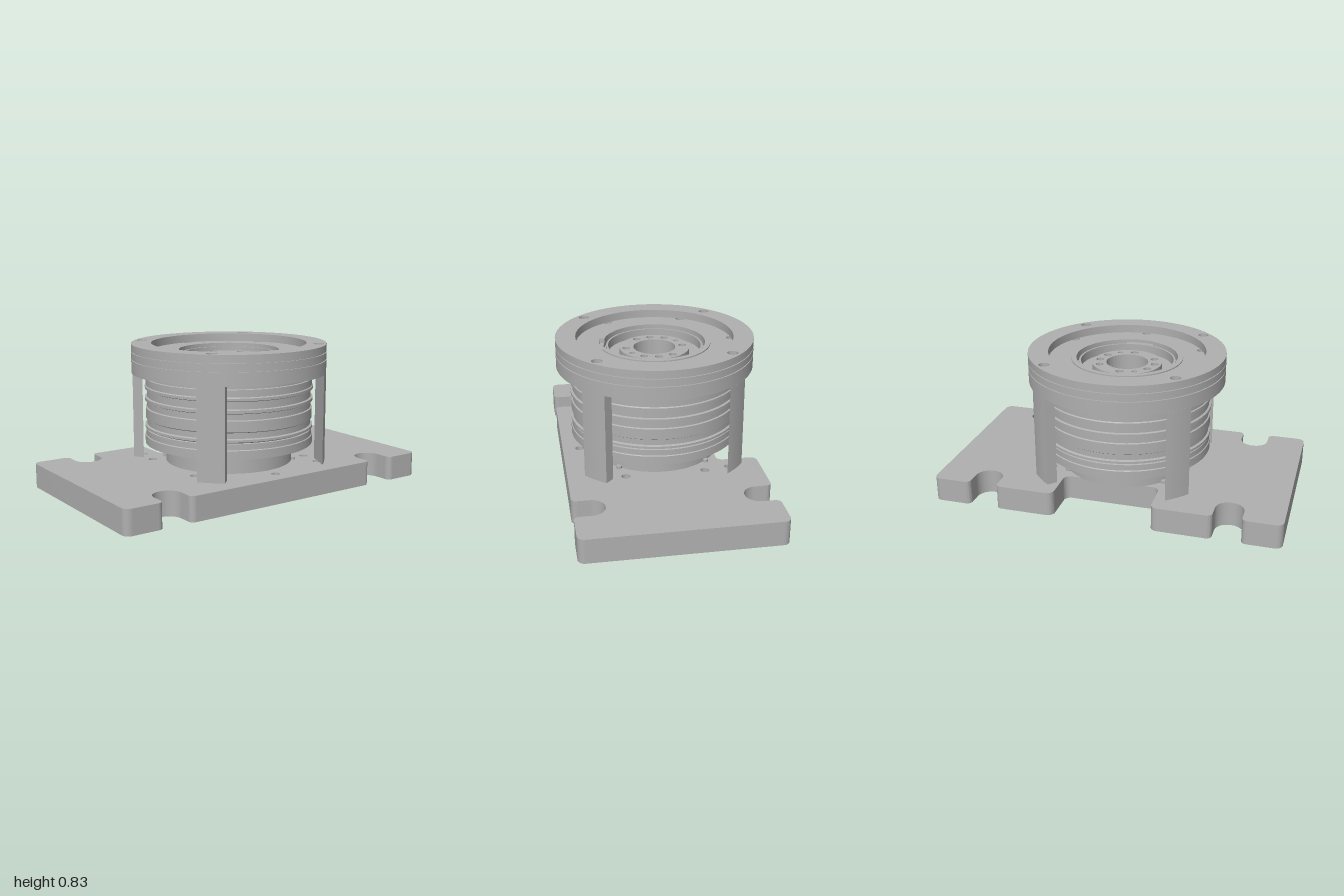
import * as THREE from 'three';
import { toCreasedNormals } from 'three/addons/utils/BufferGeometryUtils.js';

const metal = new THREE.MeshStandardMaterial({ color: 0xb0b0b0 });
metal.name = 'machined grey';

const polar = (r, deg) => [r * Math.cos(deg * Math.PI / 180), r * Math.sin(deg * Math.PI / 180)];
const hole = (x, z, r) => new THREE.Path().absarc(x, z, r, 0, Math.PI * 2, true);

export function createModel() {
  const group = new THREE.Group();

  const add = (name, geometry) => {
    const mesh = new THREE.Mesh(toCreasedNormals(geometry, 0.5), metal);
    mesh.name = name;
    group.add(mesh);
    return mesh;
  };
  // Extrude a plan outline upward from y0 to y1
  const slab = (name, shape, y0, y1) => {
    const g = new THREE.ExtrudeGeometry(shape, { depth: y1 - y0, bevelEnabled: false, curveSegments: 40 });
    g.rotateX(-Math.PI / 2);
    g.translate(0, y0, 0);
    return add(name, g);
  };
  const ring = (name, outer, inner, y0, y1, holes = []) => {
    const s = new THREE.Shape().absarc(0, 0, outer, 0, Math.PI * 2, false);
    s.holes.push(hole(0, 0, inner), ...holes);
    return slab(name, s, y0, y1);
  };
  // Right-angled outline with a fillet radius at each corner
  const filleted = (pts) => {
    const s = new THREE.Shape();
    const n = pts.length;
    pts.forEach(([x, y, r], i) => {
      const p = new THREE.Vector2(x, y);
      const toward = (q) => new THREE.Vector2(q[0], q[1]).sub(p).normalize();
      const d0 = toward(pts[(i + n - 1) % n]);
      const d1 = toward(pts[(i + 1) % n]);
      const at = (d, k) => p.clone().addScaledVector(d, r * k);
      const a = at(d0, 1), c0 = at(d0, 0.448), c1 = at(d1, 0.448), b = at(d1, 1);
      if (i === 0) s.moveTo(a.x, a.y); else s.lineTo(a.x, a.y);
      s.bezierCurveTo(c0.x, c0.y, c1.x, c1.y, b.x, b.y);
    });
    s.closePath();
    return s;
  };

  // Base plate: clamp slots on both long sides, a notch on the right side
  const W = 0.55, S = 0.375;
  const slot = (side, z0, z1) => [
    [side * W, z0, 0.03], [side * S, z0, 0.078], [side * S, z1, 0.078], [side * W, z1, 0.03],
  ];
  const plate = filleted([
    [-W, -1, 0.04], [W, -1, 0.04],
    ...slot(1, -0.78, -0.62), ...slot(1, 0.62, 0.78),
    [W, 1, 0.04], [-W, 1, 0.04],
    ...slot(-1, 0.78, 0.62),
    [-W, 0.28, 0.04], [-0.32, 0.28, 0.04], [-0.32, -0.28, 0.04], [-W, -0.28, 0.04],
    ...slot(-1, -0.62, -0.78),
  ]);
  for (const a of [0, 60, 120, 240, 300]) plate.holes.push(hole(...polar(0.45, a), 0.025));
  for (const a of [45, 135, 225, 315]) plate.holes.push(hole(...polar(0.52, a), 0.024));
  slab('basePlate', plate, 0, 0.14);

  // Ribbed drum with a foot and a stepped well in its top
  const profile = [
    [0, 0.139], [0.37, 0.139], [0.37, 0.25], [0.49, 0.25], [0.49, 0.298], [0.485, 0.302],
    [0.485, 0.335], [0.476, 0.338], [0.49, 0.345], [0.49, 0.358], [0.478, 0.363],
    [0.478, 0.395], [0.486, 0.4], [0.486, 0.46], [0.478, 0.464], [0.478, 0.498],
    [0.49, 0.503], [0.49, 0.52], [0.478, 0.524], [0.478, 0.565], [0.49, 0.57],
    [0.49, 0.585], [0.484, 0.59], [0.484, 0.63], [0.477, 0.633], [0.477, 0.665],
    [0.317, 0.665], [0.317, 0.765], [0.29, 0.765], [0.29, 0.74], [0.276, 0.74],
    [0.276, 0.77], [0.265, 0.77], [0.265, 0.72], [0.12, 0.72], [0.12, 0.6], [0, 0.6],
  ].map(([x, y]) => new THREE.Vector2(x, y));
  add('ribbedDrum', new THREE.LatheGeometry(profile, 96));

  // Four legs, flat-sided with a curved outer face
  const half = 0.077, R = 0.565, spread = Math.asin(half / R);
  const legShape = new THREE.Shape();
  legShape.moveTo(0.5, -half);
  legShape.absarc(0, 0, R, -spread, spread, false);
  legShape.lineTo(0.5, half);
  legShape.closePath();
  for (let i = 0; i < 4; i++) {
    slab('leg', legShape, 0.14, 0.665).rotation.y = Math.PI / 4 + i * Math.PI / 2;
  }

  // Stacked flange: lower ring, middle plate and raised rim with seams between
  const rimHoles = () => [45, 135, 225, 315].map((a) => hole(...polar(0.52, a), 0.03));
  const floorHoles = [0, 60, 120, 180, 240, 300].map((a) => hole(...polar(0.45, a), 0.028));
  ring('lowerFlange', R, 0.315, 0.662, 0.738);
  ring('lowerSeam', 0.557, 0.315, 0.738, 0.744);
  ring('middleFlange', R, 0.315, 0.744, 0.783, floorHoles);
  ring('upperSeam', 0.557, 0.45, 0.783, 0.788, rimHoles());
  ring('rim', R, 0.45, 0.788, 0.83, rimHoles());

  // Rim screws and foot pins
  for (const a of [45, 135, 225, 315]) {
    const [x, z] = polar(0.52, a);
    const screw = ring('rimScrew', 0.028, 0.014, 0.78, 0.808);
    screw.position.set(x, 0, z);
    const pin = add('footPin', new THREE.CylinderGeometry(0.015, 0.015, 0.016, 16));
    pin.position.set(Math.sign(x) * 0.25, 0.148, Math.sign(z) * 0.285);
  }

  // Split collar around the well, open on the left side
  const gap = 0.28;
  const collar = new THREE.Shape();
  collar.absarc(0, 0, 0.32, gap, Math.PI * 2 - gap, false);
  collar.absarc(0, 0, 0.29, Math.PI * 2 - gap, gap, true);
  collar.closePath();
  slab('splitCollar', collar, 0.76, 0.79);

  // Hub disc with bolt circle and two dowel holes
  const hubHoles = [0, 60, 90, 120, 180, 240, 270, 300].map((a) => hole(...polar(0.162, a), 0.022));
  for (const a of [30, 210]) hubHoles.push(hole(...polar(0.162, a), 0.015));
  ring('hubDisc', 0.2, 0.12, 0.715, 0.755, hubHoles);

  return group;
}
